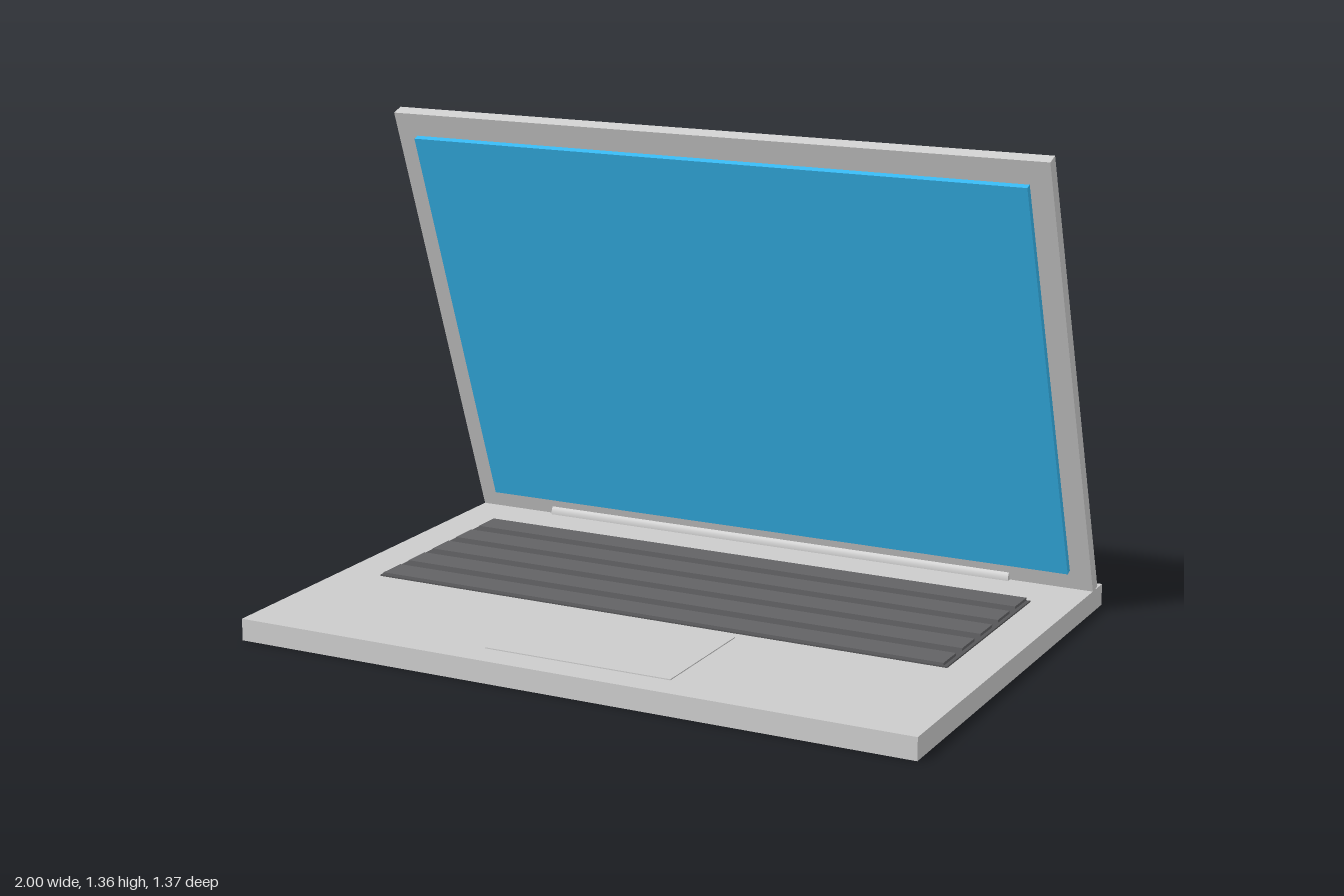
import * as THREE from 'three';

const CX = 0.0075; // body centre; the ports stick out on the right side
const BASE_TOP = 0.062;

const grey = new THREE.MeshStandardMaterial({ color: 0xcccccc });
const plateDark = new THREE.MeshStandardMaterial({ color: 0x565658 });
const keyDark = new THREE.MeshStandardMaterial({ color: 0x626264 });
const blue = new THREE.MeshStandardMaterial({ color: 0x36b6ee });

// Box given by its extents along each axis
function box(name, material, [x0, x1], [y0, y1], [z0, z1]) {
  const mesh = new THREE.Mesh(new THREE.BoxGeometry(x1 - x0, y1 - y0, z1 - z0), material);
  mesh.position.set((x0 + x1) / 2, (y0 + y1) / 2, (z0 + z1) / 2);
  mesh.name = name;
  return mesh;
}

// Extents of a given width about the body centre
const wide = (w) => [CX - w / 2, CX + w / 2];

export function createModel() {
  const laptop = new THREE.Group();
  laptop.name = 'laptop';

  // Lower body and trackpad
  laptop.add(box('base', grey, wide(1.985), [0, BASE_TOP], [-0.683, 0.683]));
  laptop.add(box('trackpad', grey, wide(0.55), [0.05, 0.065], [0.217, 0.594]));

  // Keyboard: a thin tray with five raised key rows
  const keyboard = new THREE.Group();
  keyboard.name = 'keyboard';
  keyboard.add(box('keyboardTray', plateDark, wide(1.738), [0.05, 0.066], [-0.434, 0.184]));
  for (let i = 0; i < 5; i++) {
    const z = 0.139 - i * 0.1315;
    keyboard.add(box('keyRow', keyDark, wide(1.716), [0.06, 0.074], [z - 0.044, z + 0.044]));
  }
  laptop.add(keyboard);

  // Two ports on the right side
  for (const z of [-0.377, -0.19]) {
    laptop.add(box('port', plateDark, [-1, -0.97], [0.021, 0.044], [z - 0.048, z + 0.048]));
  }

  // Hinge barrel
  const hinge = new THREE.Mesh(new THREE.CylinderGeometry(0.037, 0.037, 1.49, 24), grey);
  hinge.rotation.z = Math.PI / 2;
  hinge.position.set(CX, BASE_TOP, -0.624);
  hinge.name = 'hinge';
  laptop.add(hinge);

  // Lid with the screen panel, pivoting on the hinge and leaning forward
  const lid = new THREE.Group();
  lid.name = 'lid';
  lid.add(box('lidShell', grey, wide(1.985), [0, 1.372], [-0.0185, 0.0185]));
  lid.add(box('screen', blue, wide(1.86), [0.069, 1.302], [0.01, 0.037]));
  lid.position.set(0, BASE_TOP, -0.6235);
  lid.rotation.x = THREE.MathUtils.degToRad(20);
  laptop.add(lid);

  return laptop;
}
